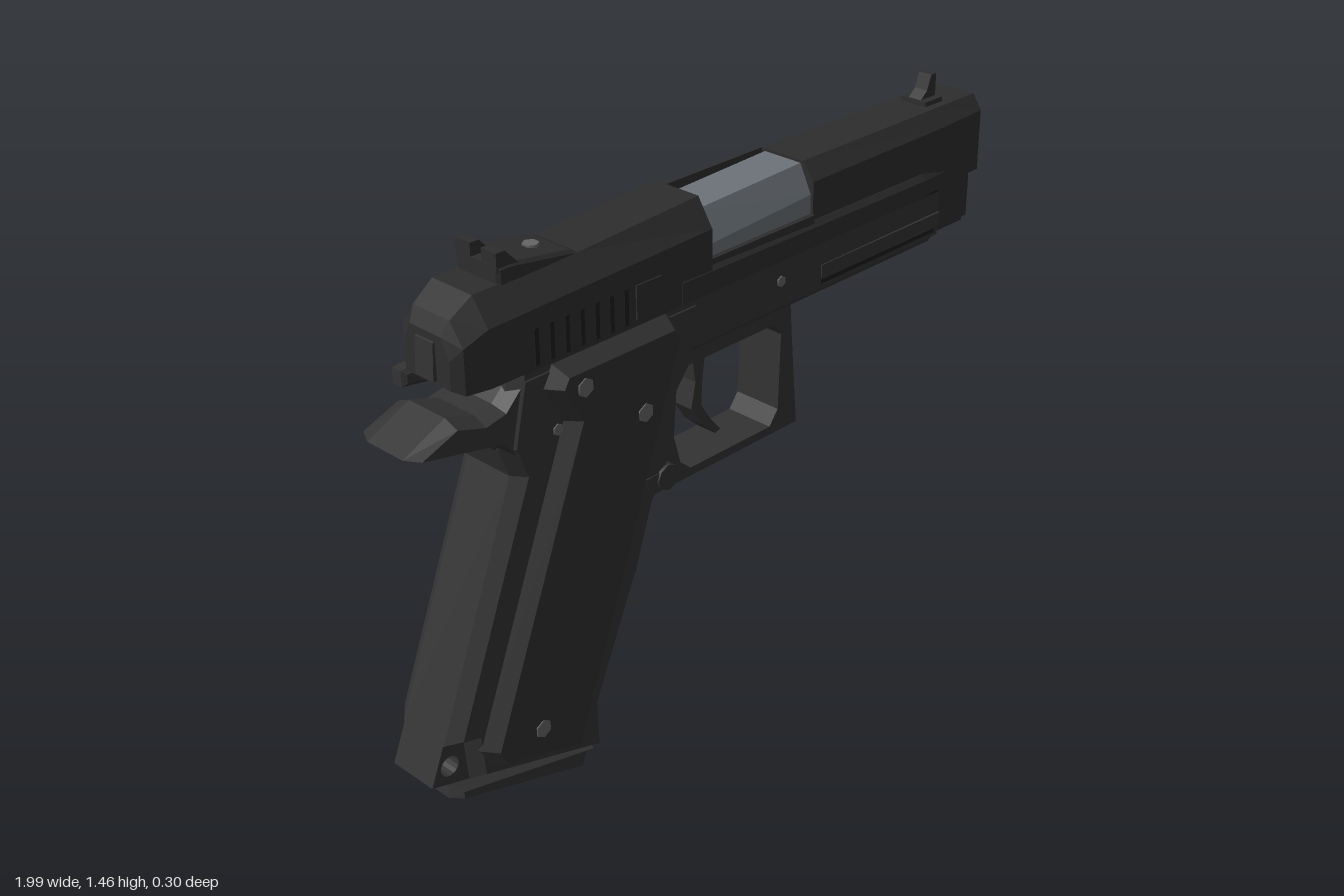
import * as THREE from 'three';

const mat = (name, color) => {
  const m = new THREE.MeshStandardMaterial({ color });
  m.name = name;
  return m;
};

export function createModel() {
  const group = new THREE.Group();
  const slideMat = mat('slide black', 0x2d2d2d);
  const frameMat = mat('frame charcoal', 0x333333);
  const gripMat = mat('grip charcoal', 0x303030);
  const grooveMat = mat('groove black', 0x1c1c1c);
  const steel = mat('barrel steel', 0x6b7278);
  const screwMat = mat('screw grey', 0x666666);

  const add = (name, geo, material) => {
    const mesh = new THREE.Mesh(geo, material);
    mesh.name = name;
    group.add(mesh);
    return mesh;
  };

  // Side profile (x, y) extruded between z0 and z1, bevelled inside its outline
  const plate = (name, pts, z0, z1, material, bevel = 0, hole = null, bevelSize = bevel) => {
    const shape = new THREE.Shape(pts.map(p => new THREE.Vector2(...p)));
    if (hole) shape.holes.push(hole);
    const geo = new THREE.ExtrudeGeometry(shape, {
      depth: z1 - z0 - 2 * bevel, bevelEnabled: bevel > 0, bevelThickness: bevel,
      bevelSize, bevelOffset: -bevelSize, bevelSegments: 1, curveSegments: 8
    });
    geo.translate(0, 0, z0 + bevel);
    return add(name, geo, material);
  };

  const box = (name, x0, x1, y0, y1, z0, z1, material) =>
    add(name, new THREE.BoxGeometry(x1 - x0, y1 - y0, z1 - z0)
      .translate((x0 + x1) / 2, (y0 + y1) / 2, (z0 + z1) / 2), material);

  // Skin over cross-sections [x, [[z, y], ...]] with flat end caps
  const loft = (name, stations, material) => {
    const pos = [];
    const put = (s, i) => pos.push(s[0], s[1][i][1], s[1][i][0]);
    const n = stations[0][1].length;
    for (let k = 0; k + 1 < stations.length; k++) {
      const a = stations[k], b = stations[k + 1];
      for (let i = 0; i < n; i++) {
        const j = (i + 1) % n;
        put(a, i); put(a, j); put(b, j);
        put(a, i); put(b, j); put(b, i);
      }
    }
    const first = stations[0], last = stations[stations.length - 1];
    for (let i = 1; i < n - 1; i++) {
      put(first, 0); put(first, i + 1); put(first, i);
      put(last, 0); put(last, i); put(last, i + 1);
    }
    const geo = new THREE.BufferGeometry();
    geo.setAttribute('position', new THREE.Float32BufferAttribute(pos, 3));
    geo.computeVertexNormals();
    return add(name, geo, material);
  };

  // Chamfered slide section: width, top width, bottom, shoulder, top
  const sec = (w, wt, y0, ys, yt) =>
    [[-wt, yt], [wt, yt], [w, ys], [w, y0], [-w, y0], [-w, ys]];

  // Slide: rear, open middle and front
  loft('slideRear', [
    [-0.86, sec(0.075, 0.05, 1.19, 1.26, 1.31)],
    [-0.84, sec(0.1, 0.06, 1.18, 1.29, 1.345)],
    [-0.78, sec(0.113, 0.065, 1.18, 1.32, 1.385)],
    [-0.47, sec(0.115, 0.07, 1.18, 1.33, 1.39)],
    [-0.1, sec(0.115, 0.07, 1.18, 1.34, 1.41)]
  ], slideMat);
  const open = [[-0.085, 1.385], [-0.068, 1.39], [-0.066, 1.26], [0.108, 1.26],
    [0.108, 1.18], [-0.108, 1.18], [-0.108, 1.34]];
  loft('slideMiddle', [[-0.1, open], [0.27, open]], slideMat);
  loft('slideFront', [
    [0.27, sec(0.102, 0.066, 1.18, 1.345, 1.39)],
    [0.78, sec(0.097, 0.064, 1.18, 1.345, 1.388)],
    [0.96, sec(0.087, 0.06, 1.18, 1.345, 1.385)]
  ], slideMat);
  loft('slideFlange', [
    [-0.2, sec(0.117, 0.106, 1.18, 1.235, 1.25)],
    [0.7, sec(0.111, 0.1, 1.18, 1.225, 1.24)],
    [0.84, sec(0.092, 0.09, 1.18, 1.215, 1.23)]
  ], slideMat);
  loft('slideNose', [
    [0.77, sec(0.06, 0.06, 1.04, 1.1, 1.19)],
    [0.96, sec(0.06, 0.06, 1.04, 1.1, 1.19)]
  ], slideMat);
  box('noseFoot', 0.77, 0.96, 1.02, 1.045, -0.045, 0.045, slideMat);

  // Barrel chamber in the ejection port, and the muzzle
  loft('barrelChamber', [
    [-0.1, sec(0.094, 0.058, 1.22, 1.29, 1.37)],
    [0.27, sec(0.094, 0.058, 1.22, 1.31, 1.383)]
  ], steel);
  const ring = [[0.043, -0.03], [0.065, -0.03], [0.065, 0.03], [0.058, 0.04], [0.046, 0.04], [0.043, 0.03], [0.043, -0.03]];
  const muzzle = add('muzzle', new THREE.LatheGeometry(ring.map(p => new THREE.Vector2(...p)), 16)
    .rotateZ(-Math.PI / 2).translate(0.96, 1.29, 0), steel);
  muzzle.geometry = muzzle.geometry.toNonIndexed();
  muzzle.geometry.computeVertexNormals();
  add('bore', new THREE.CylinderGeometry(0.044, 0.044, 0.01, 12)
    .rotateZ(Math.PI / 2).translate(0.962, 1.29, 0), frameMat);

  // Sights
  plate('rearSightBase', [[-0.71, 1.375], [-0.47, 1.385], [-0.5, 1.4], [-0.67, 1.425], [-0.71, 1.425]], -0.07, 0.07, slideMat, 0.008);
  for (const s of [1, -1]) {
    plate('rearSightEar', [[-0.71, 1.41], [-0.64, 1.41], [-0.685, 1.457], [-0.71, 1.457]],
      s > 0 ? 0.018 : -0.066, s > 0 ? 0.066 : -0.018, slideMat);
  }
  add('sightScrew', new THREE.CylinderGeometry(0.02, 0.02, 0.01, 6).translate(-0.555, 1.41, 0), screwMat);
  box('frontSightBase', 0.78, 0.85, 1.38, 1.4, -0.04, 0.04, slideMat);
  plate('frontSight', [[0.78, 1.395], [0.845, 1.395], [0.845, 1.46], [0.825, 1.46], [0.81, 1.42]], -0.02, 0.02, slideMat);

  // Frame: dust cover, grip core, tail
  loft('frameRail', [
    [-0.68, sec(0.104, 0.104, 1.05, 1.1, 1.185)],
    [0.3, sec(0.104, 0.104, 1.05, 1.1, 1.185)],
    [0.78, sec(0.1, 0.1, 1.05, 1.1, 1.18)]
  ], frameMat);
  loft('dustCover', [
    [-0.2, [[-0.1, 1.06], [0.1, 1.06], [0.07, 1.02], [-0.07, 1.02]]],
    [0.78, [[-0.1, 1.06], [0.1, 1.06], [0.07, 1.02], [-0.07, 1.02]]]
  ], frameMat);
  plate('gripFrame', [[-0.7, 1.18], [-0.12, 1.18], [-0.15, 1.0], [-0.19, 0.95], [-0.2, 0.83],
    [-0.24, 0.74], [-0.28, 0.68], [-0.33, 0.53], [-0.475, 0.2], [-0.475, 0.05], [-0.88, 0.168],
    [-0.89, 0.28], [-0.95, 0.3], [-0.71, 0.92], [-0.74, 1.0]], -0.107, 0.107, frameMat, 0.035, null, 0.025);
  plate('tail', [[-0.99, 1.07], [-0.84, 1.03], [-0.75, 1.01], [-0.7, 0.94], [-0.6, 0.98],
    [-0.62, 1.18], [-0.67, 1.18], [-0.74, 1.11], [-0.79, 1.1], [-0.87, 1.125]], -0.1, 0.1, frameMat, 0.04, null, 0.015);
  plate('frontStrapCatch', [[-0.32, 0.54], [-0.305, 0.48], [-0.335, 0.435], [-0.42, 0.445], [-0.36, 0.54]], -0.055, 0.055, frameMat);
  const eye = new THREE.Path().absarc(-0.935, 0.235, 0.027, 0, Math.PI * 2, true);
  plate('lanyardLug', [[-0.99, 0.2], [-0.86, 0.162], [-0.86, 0.3], [-0.95, 0.3]], -0.07, 0.07, frameMat, 0, eye);
  plate('magazineBase', [[-0.925, 0.175], [-0.48, 0.055], [-0.515, 0.045], [-0.53, 0.005], [-0.93, 0.128]],
    -0.09, 0.09, frameMat, 0.04, null, 0.015);

  // Trigger guard and trigger
  const guardHole = new THREE.Path([[-0.15, 0.985], [-0.185, 0.93], [-0.19, 0.82], [-0.165, 0.73],
    [-0.13, 0.7], [0.16, 0.7], [0.19, 0.74], [0.198, 0.95], [0.17, 0.985]].map(p => new THREE.Vector2(...p)));
  plate('triggerGuard', [[-0.21, 1.04], [0.23, 1.04], [0.237, 0.95], [0.262, 0.677], [-0.29, 0.677], [-0.25, 0.8]],
    -0.07, 0.07, frameMat, 0, guardHole);
  plate('trigger', [[-0.085, 1.0], [-0.03, 1.0], [-0.045, 0.91], [-0.05, 0.83], [-0.015, 0.775],
    [0.02, 0.735], [0, 0.73], [-0.05, 0.775], [-0.085, 0.83], [-0.07, 0.9]], -0.03, 0.03, frameMat);

  // Paired side details
  const gripPts = [[-0.6, 1.17], [-0.245, 1.17], [-0.21, 1.13], [-0.256, 0.995], [-0.576, 0.12],
    [-0.84, 0.2], [-0.87, 0.26], [-0.575, 1.02], [-0.63, 1.12]];
  const disc = (name, x, y, z, r, h, material, sides = 6) =>
    add(name, new THREE.CylinderGeometry(r, r, h, sides).rotateX(Math.PI / 2).translate(x, y, z), material);
  for (const s of [1, -1]) {
    const span = (a, b) => s > 0 ? [a, b] : [-b, -a];
    // The hidden inner half lets one bevel shape the outer edge
    plate('gripPanel', gripPts, ...span(0.04, 0.146), gripMat, 0.04, null, 0.025);
    for (const [x, y] of [[-0.54, 1.105], [-0.355, 0.97], [-0.71, 0.26]])
      disc('gripScrew', x, y, s * 0.145, 0.024, 0.008, screwMat);
    disc('framePin', -0.592, 1.005, s * 0.106, 0.015, 0.008, screwMat);
    disc('railPin', 0.155, 1.12, s * 0.103, 0.015, 0.008, screwMat);
    disc('magazineButton', -0.25, 0.74, s * 0.09, 0.035, 0.05, frameMat, 8);
    box('magazineButtonTab', -0.34, -0.25, 0.725, 0.76, ...span(0.08, 0.11), frameMat);
    // Slide serrations
    for (const x of [-0.65, -0.605, -0.56, -0.515, -0.47, -0.425, -0.38])
      box('serration', x - 0.006, x + 0.006, 1.19, 1.28, ...span(0.111, 0.117), grooveMat);
    box('slideRib', -0.35, -0.27, 1.195, 1.28, ...span(0.11, 0.119), slideMat);
    // Accessory rail lines
    box('railGroove', 0.305, 0.76, 1.063, 1.075, ...span(0.097, 0.105), grooveMat);
    box('railRidge', 0.305, 0.78, 1.08, 1.115, ...span(0.09, 0.107), frameMat);
    box('slideSeam', -0.6, 0.77, 1.176, 1.183, ...span(0.1, 0.106), grooveMat);
  }

  // Controls on the far side, and the hammer
  plate('slideStop', [[-0.18, 1.12], [0.17, 1.12], [0.21, 1.15], [0.21, 1.2], [-0.04, 1.2], [-0.05, 1.16], [-0.18, 1.16]], -0.122, -0.1, frameMat);
  box('slideStopThumb', -0.04, 0.21, 1.14, 1.2, -0.15, -0.115, frameMat);
  plate('safetyLever', [[-0.85, 1.13], [-0.66, 1.1], [-0.62, 1.13], [-0.64, 1.175], [-0.85, 1.17]], -0.15, -0.1, frameMat, 0.01);
  plate('hammer', [[-0.87, 1.2], [-0.8, 1.2], [-0.8, 1.31], [-0.865, 1.29]], -0.03, 0.03, frameMat);

  return group;
}
